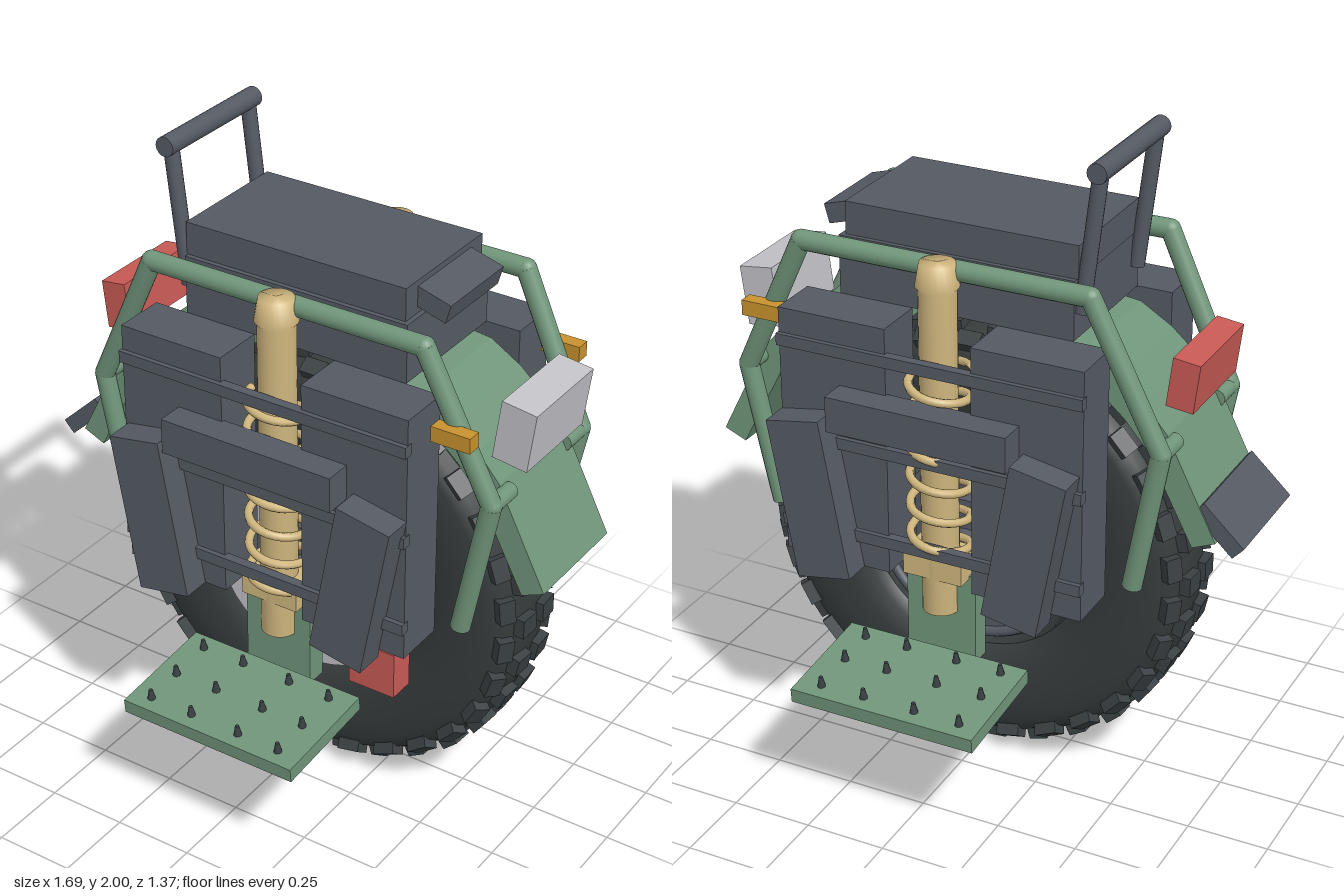
import * as THREE from 'three';

const mat = (name, color) => {
  const m = new THREE.MeshStandardMaterial({ color });
  m.name = name;
  return m;
};

export function createModel() {
  const M = {
    grey: mat('slate grey', 0x555a63),
    green: mat('sage green', 0x70957a),
    gold: mat('brass', 0xcfb67e),
    red: mat('lamp red', 0xc85a55),
    amber: mat('amber', 0xc8922e),
    light: mat('pale grey', 0xc2c2c7),
    tire: mat('rubber', 0x363b3b),
    knob: mat('tread rubber', 0x3a4043),
  };
  const CX = 0.035, CY = 0.7; // wheel centre
  const root = new THREE.Group();
  root.name = 'unicycle';

  const add = (parent, name, geo, material, x = 0, y = 0, z = 0) => {
    const m = new THREE.Mesh(geo, material);
    m.name = name;
    m.position.set(x, y, z);
    parent.add(m);
    return m;
  };
  // box given by its limits
  const block = (parent, name, material, x0, x1, y0, y1, z0, z1) =>
    add(parent, name, new THREE.BoxGeometry(x1 - x0, y1 - y0, z1 - z0), material,
      (x0 + x1) / 2, (y0 + y1) / 2, (z0 + z1) / 2);
  // round bar between two points
  const bar = (parent, name, material, a, b, r, sides = 16) => {
    const A = new THREE.Vector3(...a), B = new THREE.Vector3(...b);
    const d = B.clone().sub(A);
    const m = add(parent, name, new THREE.CylinderGeometry(r, r, d.length(), sides), material);
    m.position.copy(A).addScaledVector(d, 0.5);
    m.quaternion.setFromUnitVectors(new THREE.Vector3(0, 1, 0), d.normalize());
    return m;
  };
  // disc whose axis is z
  const disc = (parent, name, material, r, z0, z1) => {
    const m = add(parent, name, new THREE.CylinderGeometry(r, r, z1 - z0, 48), material, 0, 0, (z0 + z1) / 2);
    m.rotation.x = Math.PI / 2;
    return m;
  };

  // ---- wheel ----
  const wheel = new THREE.Group();
  wheel.name = 'wheel';
  wheel.position.set(CX, CY, 0);
  root.add(wheel);
  const half = [[0.365, 0.09], [0.39, 0.12], [0.45, 0.14], [0.53, 0.144], [0.6, 0.138], [0.645, 0.115], [0.67, 0.075], [0.68, 0]];
  const profile = [
    ...half.map(([r, z]) => new THREE.Vector2(r, -z)),
    ...half.slice(0, -1).reverse().map(([r, z]) => new THREE.Vector2(r, z)),
    new THREE.Vector2(0.365, -0.09),
  ];
  const tire = add(wheel, 'tire', new THREE.LatheGeometry(profile, 72), M.tire);
  tire.rotation.x = Math.PI / 2;

  // tread: pairs in the middle, shoulder knobs staggered between them
  const N = 30;
  const middle = new THREE.BoxGeometry(0.045, 0.06, 0.068);
  const shoulder = new THREE.BoxGeometry(0.045, 0.075, 0.05);
  for (let i = 0; i < N; i++) {
    for (const s of [-1, 1]) {
      const put = (geo, step, r, z, tilt) => {
        const arm = new THREE.Group();
        arm.name = 'treadArm';
        arm.rotation.z = ((i + step) / N) * Math.PI * 2;
        wheel.add(arm);
        add(arm, 'treadKnob', geo, M.knob, r, 0, s * z).rotation.y = -s * tilt;
      };
      put(middle, 0, 0.676, 0.052, 0.05);
      put(shoulder, 0.5, 0.648, 0.112, 0.6);
    }
  }

  // rim, hub and cover
  disc(wheel, 'rim', M.grey, 0.335, -0.1, 0.08);
  disc(wheel, 'wheelCover', M.light, 0.335, 0.08, 0.16);
  disc(wheel, 'hubFront', M.grey, 0.15, 0.16, 0.185);
  disc(wheel, 'hubBack', M.grey, 0.15, -0.15, -0.1);
  disc(wheel, 'axle', M.grey, 0.055, -0.26, 0.26);
  add(wheel, 'hubRing', new THREE.TorusGeometry(0.175, 0.014, 10, 48), M.grey, 0, 0, 0.162);
  for (const r of [0.24, 0.315]) {
    add(wheel, 'rimRing', new THREE.TorusGeometry(r, 0.016, 10, 48), M.grey, 0, 0, -0.102);
  }

  // ---- seat, dash and carry handle ----
  block(root, 'seatBase', M.grey, -0.34, 0.4, 1.47, 1.65, -0.215, 0.215);
  block(root, 'seatCushion', M.grey, -0.345, 0.385, 1.65, 1.75, -0.2, 0.2);
  add(root, 'dash', new THREE.BoxGeometry(0.16, 0.06, 0.28), M.grey, 0.405, 1.695, 0).rotation.z = -0.28;
  bar(root, 'handleGrip', M.grey, [-0.4, 1.97, -0.215], [-0.4, 1.97, 0.215], 0.03);
  for (const s of [-1, 1]) {
    bar(root, 'handlePost', M.grey, [-0.35, 1.55, s * 0.185], [-0.4, 1.97, s * 0.185], 0.023);
  }

  // ---- fenders, mirrored about the wheel centre ----
  const outer = [[0.15, 1.47], [0.4, 1.44], [0.5, 1.38], [0.58, 1.31], [0.65, 1.23], [0.805, 0.925]];
  const inner = [[0.735, 0.895], [0.59, 1.17], [0.52, 1.25], [0.44, 1.32], [0.36, 1.375], [0.15, 1.425]];
  for (const s of [-1, 1]) {
    const pts = [...outer, ...inner].map(([x, y]) => new THREE.Vector2(CX + s * x, y));
    const geo = new THREE.ExtrudeGeometry(new THREE.Shape(pts), { depth: 0.37, bevelEnabled: false });
    add(root, s > 0 ? 'frontFender' : 'rearFender', geo, M.green, 0, 0, -0.185);
  }
  add(root, 'mudFlap', new THREE.BoxGeometry(0.17, 0.05, 0.36), M.grey, -0.775, 0.965, 0).rotation.z = 0.75;

  // ---- lamps ----
  add(root, 'headlight', new THREE.BoxGeometry(0.11, 0.185, 0.315), M.light, 0.71, 1.375, 0).rotation.z = -0.13;
  add(root, 'tailLight', new THREE.BoxGeometry(0.083, 0.15, 0.315), M.red, -0.645, 1.375, 0).rotation.z = 0.12;
  block(root, 'sideLamp', M.red, 0.265, 0.42, 0.455, 0.605, 0.2, 0.285);

  // ---- both sides ----
  class Coil extends THREE.Curve {
    getPoint(t, out = new THREE.Vector3()) {
      const a = t * Math.PI * 2 * 6.5;
      return out.set(Math.cos(a) * 0.087, 0.74 + t * 0.62, Math.sin(a) * 0.087);
    }
  }
  const coilGeo = new THREE.TubeGeometry(new Coil(), 200, 0.013, 8);
  const shockProfile = [[0, 0.57], [0.056, 0.57], [0.056, 1.59], [0.064, 1.6], [0.052, 1.67], [0, 1.67]]
    .map(p => new THREE.Vector2(...p));

  for (const s of [1, -1]) {
    const side = new THREE.Group();
    side.name = s > 0 ? 'frontSide' : 'backSide';
    root.add(side);
    const blk = (name, m, x0, x1, y0, y1, z0, z1) =>
      block(side, name, m, x0, x1, y0, y1, Math.min(s * z0, s * z1), Math.max(s * z0, s * z1));

    // battery panels, rails and pads
    blk('panel', M.grey, -0.45, -0.105, 0.69, 1.47, 0.215, 0.38);
    blk('panel', M.grey, 0.165, 0.51, 0.69, 1.47, 0.215, 0.38);
    for (const y of [1.375, 1.085, 0.795]) blk('panelRail', M.grey, -0.452, 0.512, y - 0.018, y + 0.018, 0.365, 0.395);
    blk('kneeBar', M.grey, -0.255, 0.315, 1.155, 1.265, 0.37, 0.465);
    for (const d of [-1, 1]) {
      const pad = add(side, 'legPad', new THREE.BoxGeometry(0.175, 0.5, 0.095), M.grey, CX + d * 0.345, 0.92, s * 0.422);
      pad.rotation.z = -d * 0.18;
    }

    // shock absorber
    const shock = new THREE.Group();
    shock.name = 'shock';
    shock.position.set(CX, 0, s * 0.305);
    side.add(shock);
    add(shock, 'shockTube', new THREE.LatheGeometry(shockProfile, 24), M.gold).geometry = new THREE.LatheGeometry(shockProfile, 24).toNonIndexed();
    add(shock, 'spring', coilGeo, M.gold);
    block(shock, 'shockClamp', M.gold, -0.095, 0.095, 0.69, 0.77, -0.055, 0.055);

    // pedal with grip pins
    blk('pedalHanger', M.green, -0.08, 0.145, 0.41, 0.7, 0.245, 0.31);
    const pedal = new THREE.Group();
    pedal.name = 'pedal';
    pedal.position.set(CX, 0.408, s * 0.505);
    pedal.rotation.x = s * 0.085;
    side.add(pedal);
    add(pedal, 'pedalPlate', new THREE.BoxGeometry(0.59, 0.045, 0.36), M.green);
    for (const x of [-0.23, -0.085, 0.08, 0.22]) {
      for (const z of [-0.13, 0.008, 0.132]) {
        add(pedal, 'gripPin', new THREE.CylinderGeometry(0.006, 0.013, 0.035, 8), M.knob, x, 0.038, z);
      }
    }

    // tube cage
    const cage = [[-0.545, 0.76, 0.24], [-0.625, 1.2, 0.25], [-0.415, 1.64, 0.272],
      [0.49, 1.64, 0.272], [0.7, 1.2, 0.25], [0.61, 0.76, 0.24]].map(([x, y, z]) => [x, y, s * z]);
    for (let i = 0; i < cage.length - 1; i++) {
      bar(side, 'cageTube', M.green, cage[i], cage[i + 1], 0.03);
      if (i) add(side, 'cageJoint', new THREE.SphereGeometry(0.03, 16, 12), M.green, ...cage[i]);
    }
    for (const i of [1, 4]) {
      const [x, y, z] = cage[i];
      bar(side, 'cageStrut', M.green, [x, y, z], [x, y, s * 0.15], 0.026);
    }
    blk('turnSignal', M.amber, 0.545, 0.668, 1.39, 1.437, 0.278, 0.323);
  }
  return root;
}
